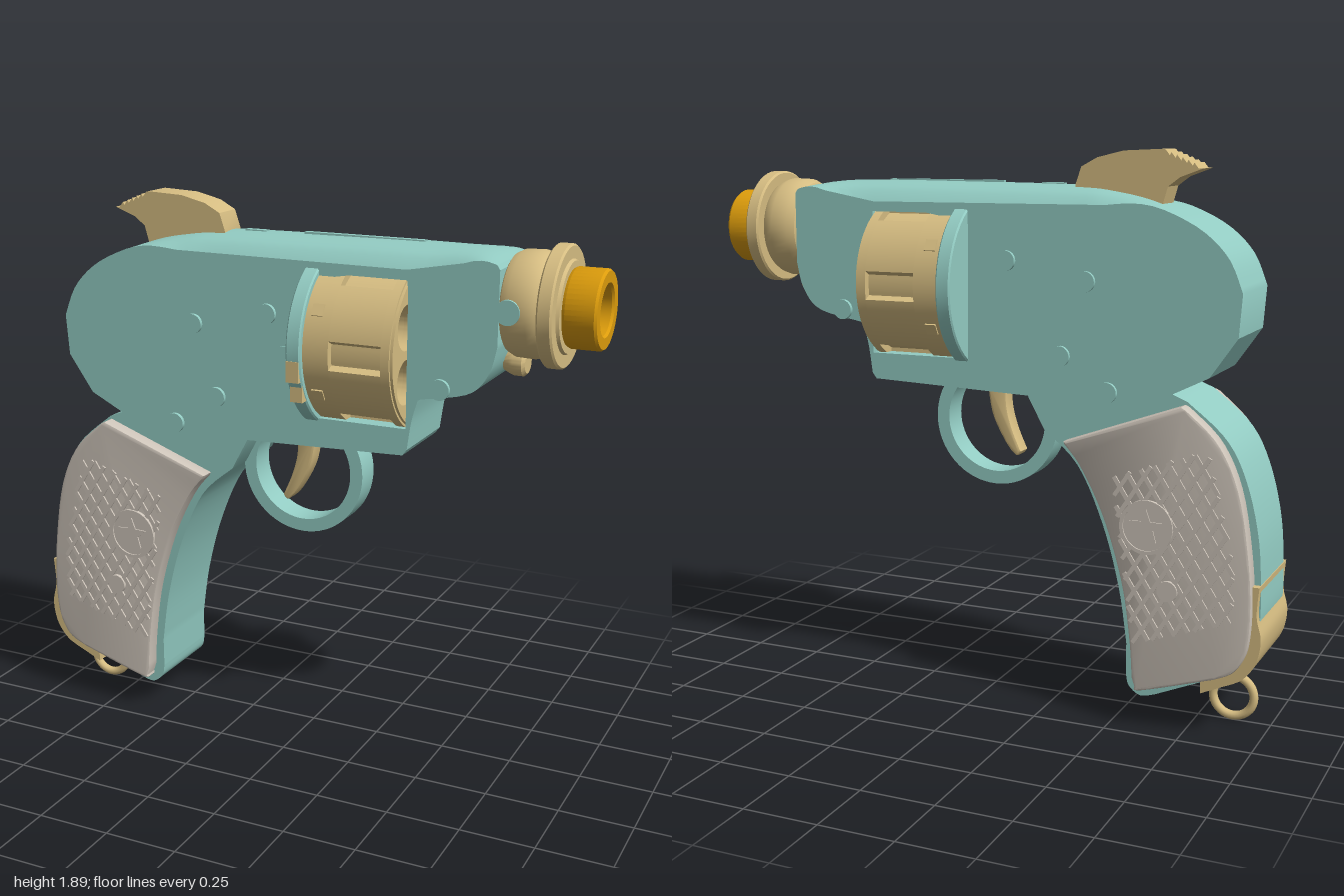
import * as THREE from 'three';
import { toCreasedNormals } from 'three/addons/utils/BufferGeometryUtils.js';

const mat = (name, color, side = THREE.FrontSide) =>
  Object.assign(new THREE.MeshStandardMaterial({ color, side }), { name });
const teal = mat('teal', 0x93ccc3);
const gold = mat('gold', 0xd6bd82);
const amber = mat('amber', 0xdc9c0c);
const ivory = mat('ivory', 0xcdc4b9);

// outline from runs of points; runs of three or more points become smooth curves
function outline(...runs) {
  const pts = [];
  for (const run of runs) {
    const v = run.map(p => new THREE.Vector2(...p));
    pts.push(...(v.length > 2 ? new THREE.SplineCurve(v).getPoints(v.length * 4) : v));
  }
  return new THREE.Shape(pts);
}
// extrusion from z0 to z1
function slab(shape, z0, z1, steps = 1, bevel = 0) {
  const g = new THREE.ExtrudeGeometry(shape, {
    depth: z1 - z0 - 2 * bevel, steps, curveSegments: 32, bevelEnabled: bevel > 0,
    bevelSize: bevel, bevelOffset: -bevel, bevelThickness: bevel, bevelSegments: 2,
  });
  return g.translate(0, 0, z0 + bevel);
}
const crease = (g, a = 0.5) => toCreasedNormals(g, a);
// surface of revolution about the barrel axis; profile given as [x, radius]
function turned(profile, y) {
  const g = new THREE.LatheGeometry(profile.map(([x, r]) => new THREE.Vector2(r, x)), 48);
  return crease(g.rotateZ(-Math.PI / 2).translate(0, y, 0));
}

export function createModel() {
  const root = new THREE.Group();
  root.name = 'toyBlaster';
  const add = (name, geo, material, parent = root) => {
    const m = new THREE.Mesh(geo, material);
    m.name = name;
    parent.add(m);
    return m;
  };
  const box = (name, x0, x1, y0, y1, z0, z1, material) =>
    add(name, new THREE.BoxGeometry(x1 - x0, y1 - y0, z1 - z0)
      .translate((x0 + x1) / 2, (y0 + y1) / 2, (z0 + z1) / 2), material);

  // frame and grip core, with a window for the drum
  const frame = outline(
    [[0.7, 1.5], [0.7, 1.73]],
    [[0.69, 1.745], [0.6, 1.77], [0.4, 1.777], [0.06, 1.775], [-0.31, 1.77], [-0.45, 1.755], [-0.59, 1.72],
      [-0.75, 1.65], [-0.85, 1.56], [-0.9, 1.45]],
    [[-0.89, 1.31], [-0.8, 1.18]], [[-0.68, 1.12]],
    [[-0.73, 1.1], [-0.86, 0.99], [-0.93, 0.86], [-0.975, 0.68], [-0.988, 0.5], [-0.985, 0.38], [-0.95, 0.27], [-0.85, 0.195]],
    [[-0.64, 0.105], [-0.59, 0.095], [-0.55, 0.125], [-0.54, 0.17]],
    [[-0.54, 0.27], [-0.51, 0.46], [-0.45, 0.67], [-0.36, 0.86], [-0.24, 0.97]],
    [[-0.18, 1.08], [0.39, 1.1]],
    [[0.405, 1.12], [0.42, 1.22], [0.44, 1.29]],
    [[0.45, 1.295], [0.61, 1.33], [0.675, 1.4], [0.7, 1.49]]);
  frame.holes.push(new THREE.Path([[0.085, 1.19], [0.4, 1.19], [0.4, 1.675], [0.085, 1.675]]
    .map(p => new THREE.Vector2(...p))));
  const frameGeo = slab(frame, -0.15, 0.15, 12);
  const pos = frameGeo.attributes.position;
  const ramp = THREE.MathUtils.smoothstep;
  for (let i = 0; i < pos.count; i++) { // round off the top strap
    const x = pos.getX(i), y = pos.getY(i), t = Math.min(1, Math.abs(pos.getZ(i)) / 0.15);
    if (y > 1.69) {
      const k = ramp(x, -0.65, -0.3) * (1 - ramp(x, 0.45, 0.69));
      pos.setY(i, y - 0.08 * k * (1 - Math.sqrt(1 - t * t * 0.98)));
    }
  }
  frameGeo.computeVertexNormals();
  add('frame', crease(frameGeo), teal);
  box('sightRib', -0.03, 0.4, 1.76, 1.781, -0.01, 0.01, teal);
  box('rearSightRib', -0.25, -0.17, 1.76, 1.776, -0.012, 0.012, teal);
  box('sidePlate', -0.05, 0.04, 1.27, 1.42, 0.14, 0.156, teal);

  // drum with six chambers and notches, built in three slices
  const drumY = 1.435;
  const drumSlice = (x0, x1, notched, r) => {
    const pts = [];
    for (let i = 0; i < 180; i++) {
      const deg = i * 2, off = Math.abs(((deg + 30) % 60) - 30);
      const a = deg * Math.PI / 180, rr = notched && off < 9 ? 0.25 : r;
      pts.push(new THREE.Vector2(rr * Math.cos(a), rr * Math.sin(a)));
    }
    const s = new THREE.Shape(pts);
    for (let k = 0; k < 6; k++) {
      const a = (k + 0.5) * Math.PI / 3;
      s.holes.push(new THREE.Path().absarc(0.178 * Math.cos(a), 0.178 * Math.sin(a), 0.074, 0, Math.PI * 2));
    }
    add('drum', crease(slab(s, x0, x1).rotateY(Math.PI / 2).translate(0, drumY, 0)), gold);
  };
  drumSlice(0.088, 0.18, false, 0.276);
  drumSlice(0.18, 0.36, true, 0.276);
  drumSlice(0.36, 0.39, false, 0.276);
  drumSlice(0.39, 0.399, false, 0.268);
  for (let k = 0; k < 6; k++) {
    const g = new THREE.BoxGeometry(0.04, 0.012, 0.04).translate(0.13, 0.275, 0)
      .rotateX((k * Math.PI) / 3).translate(0, drumY, 0);
    add('drumStop', g, gold);
  }
  add('drumShield', turned([[0.038, 0], [0.038, 0.29], [0.043, 0.295], [0.085, 0.295], [0.09, 0.29], [0.09, 0]], drumY), teal);
  box('latchKnob', 0.04, 0.085, 1.34, 1.41, 0.2, 0.296, gold);
  box('latchFoot', 0.045, 0.088, 1.27, 1.34, 0.2, 0.272, gold);

  // muzzle
  const axisY = 1.605;
  add('barrelCollar', turned([[0.69, 0], [0.695, 0.14], [0.705, 0.157], [0.73, 0.17], [0.79, 0.172], [0.815, 0.165],
    [0.83, 0.155], [0.83, 0.19], [0.836, 0.196], [0.874, 0.196], [0.88, 0.19], [0.88, 0.15], [0.89, 0.145], [0.89, 0]], axisY), gold);
  add('muzzle', turned([[0.885, 0.12], [0.9, 0.128], [0.992, 0.128], [1, 0.122], [1, 0.086], [0.992, 0.08], [0.89, 0.08]], axisY), amber);
  add('boreFloor', turned([[0.88, 0.082], [0.915, 0.082], [0.915, 0.032], [0.92, 0.03], [0.92, 0]], axisY), teal);
  add('ejectorKnob', turned([[0.68, 0.03], [0.7, 0.04], [0.715, 0.045], [0.745, 0.045], [0.755, 0.035], [0.755, 0]], 1.415), gold);

  // pins
  const pin = (name, x, y, r, z0, z1, material, parent) => add(name, crease(
    new THREE.CylinderGeometry(r, r, z1 - z0, 24).rotateX(Math.PI / 2).translate(x, y, (z0 + z1) / 2)), material, parent);
  pin('collarPin', 0.735, axisY, 0.04, 0, 0.176, teal);
  for (const [x, y] of [[-0.38, 1.467], [-0.1, 1.525], [-0.295, 1.22], [-0.46, 1.11], [0.515, 1.335]])
    pin('framePin', x, y, 0.034, -0.163, 0.163, teal);

  // hammer with a serrated spur
  const hammer = [[-0.31, 1.7], [-0.305, 1.77], [-0.325, 1.83], [-0.38, 1.86], [-0.47, 1.882], [-0.6, 1.888]];
  for (let i = 0; i < 6; i++)
    hammer.push([-0.61 - i * 0.019, 1.886 - i * 0.008], [-0.624 - i * 0.019, 1.868 - i * 0.008]);
  hammer.push([-0.735, 1.828], [-0.66, 1.8], [-0.62, 1.77], [-0.6, 1.7]);
  add('hammer', crease(slab(new THREE.Shape(hammer.map(p => new THREE.Vector2(...p))), -0.055, 0.055)), gold);

  // trigger and guard
  const trigger = outline([[-0.105, 0.86], [-0.085, 0.845], [-0.045, 0.89], [0.005, 0.99], [0.025, 1.12]],
    [[-0.05, 1.12], [-0.05, 1.02], [-0.07, 0.94], [-0.1, 0.87]]);
  add('trigger', crease(slab(trigger, -0.032, 0.032, 1, 0.008)), gold);
  const guard = new THREE.Shape().absarc(0, 0, 0.225, 0, Math.PI * 2);
  guard.holes.push(new THREE.Path().absarc(0, 0, 0.18, 0, Math.PI * 2));
  add('triggerGuard', crease(slab(guard, -0.048, 0.048).translate(-0.02, 0.968, 0)), teal);

  // back strap and lanyard ring
  const strap = outline(
    [[-0.99, 0.525], [-0.985, 0.47], [-0.985, 0.42], [-1, 0.35], [-0.985, 0.27], [-0.94, 0.21], [-0.87, 0.175]],
    [[-0.805, 0.145], [-0.805, 0.185]],
    [[-0.86, 0.205], [-0.92, 0.24], [-0.955, 0.3], [-0.965, 0.36], [-0.955, 0.43], [-0.962, 0.525]]);
  add('backStrap', crease(slab(strap, -0.178, 0.178)), gold);
  add('lanyardStud', new THREE.CylinderGeometry(0.022, 0.026, 0.06, 16).rotateZ(-0.4).translate(-0.835, 0.155, 0), gold);
  add('lanyardRing', new THREE.TorusGeometry(0.07, 0.015, 12, 40).translate(-0.87, 0.086, 0), gold);

  // grip panels with lattice, medallion and screw
  const panelShape = outline([[-0.725, 1.09], [-0.325, 0.945]],
    [[-0.33, 0.935], [-0.39, 0.86], [-0.47, 0.7], [-0.535, 0.49], [-0.565, 0.3], [-0.575, 0.17]],
    [[-0.585, 0.14], [-0.61, 0.13], [-0.84, 0.2]],
    [[-0.85, 0.203], [-0.92, 0.24], [-0.96, 0.32], [-0.97, 0.45], [-0.958, 0.62], [-0.92, 0.83], [-0.85, 0.98], [-0.74, 1.083]]);
  const panelGeo = crease(slab(panelShape, 0.14, 0.2, 1, 0.008));
  const region = [[-0.82, 0.955], [-0.91, 0.6], [-0.91, 0.405], [-0.58, 0.29], [-0.5, 0.845]];
  // span of the line p + t*d inside the convex lattice region
  const span = (px, py, dx, dy) => {
    let lo = -9, hi = 9;
    region.forEach(([ax, ay], i) => {
      const [bx, by] = region[(i + 1) % region.length];
      const nx = ay - by, ny = bx - ax; // inward normal
      const dist = (px - ax) * nx + (py - ay) * ny, rate = dx * nx + dy * ny;
      if (rate > 0) lo = Math.max(lo, -dist / rate);
      else hi = Math.min(hi, -dist / rate);
    });
    return [lo, hi];
  };
  const starShape = r => new THREE.Shape(Array.from({ length: 10 }, (_, i) => {
    const a = Math.PI / 2 + i * Math.PI / 5, q = i % 2 ? r * 0.42 : r;
    return new THREE.Vector2(q * Math.cos(a), q * Math.sin(a));
  }));
  const rim = new THREE.Shape().absarc(0, 0, 0.09, 0, Math.PI * 2);
  rim.holes.push(new THREE.Path().absarc(0, 0, 0.078, 0, Math.PI * 2));

  for (const side of [1, -1]) {
    const grip = new THREE.Group();
    grip.name = side > 0 ? 'leftGrip' : 'rightGrip';
    grip.scale.z = side;
    root.add(grip);
    add('gripPanel', panelGeo, ivory, grip);
    for (const slope of [1, -1]) {
      const ang = slope * 1.0, dx = Math.cos(ang), dy = Math.sin(ang);
      for (let i = -14; i <= 14; i++) {
        const px = -0.72 + i * 0.055, py = 0.6;
        const [lo, hi] = span(px, py, dx, dy);
        if (hi - lo < 0.03) continue;
        const mid = (lo + hi) / 2;
        add('latticeBar', new THREE.BoxGeometry(hi - lo, 0.014, 0.01).rotateZ(ang)
          .translate(px + dx * mid, py + dy * mid, 0.201), ivory, grip);
      }
    }
    pin('medallion', -0.62, 0.69, 0.086, 0.19, 0.208, ivory, grip);
    add('medallionRim', crease(slab(rim, 0.19, 0.213).translate(-0.62, 0.69, 0)), ivory, grip);
    add('medallionStar', slab(starShape(0.06), 0.2, 0.213).translate(-0.62, 0.69, 0), ivory, grip);
    pin('gripScrew', -0.695, 0.485, 0.034, 0.19, 0.213, ivory, grip);
  }
  return root;
}
